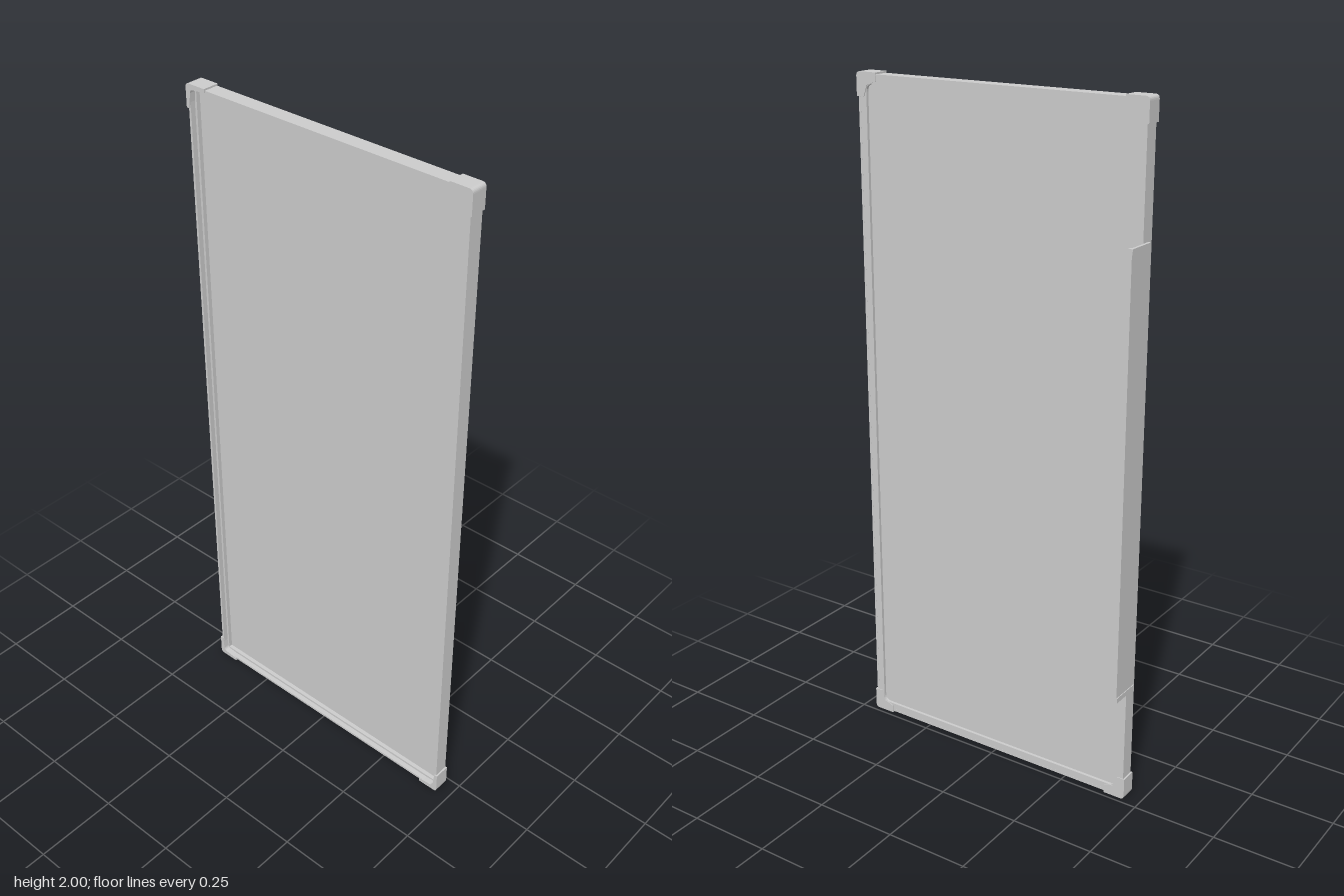
import * as THREE from 'three';

const material = new THREE.MeshStandardMaterial({ color: 0xcccccc });
const CZ = 0.003, CY = 1; // board centre
const HZ = 0.457, HY = 1; // board half sizes

// Rounded rectangle outline around the origin
function roundedRect(Type, w, h, r) {
  const s = new Type();
  s.moveTo(-w + r, -h);
  s.lineTo(w - r, -h);
  s.quadraticCurveTo(w, -h, w, -h + r);
  s.lineTo(w, h - r);
  s.quadraticCurveTo(w, h, w - r, h);
  s.lineTo(-w + r, h);
  s.quadraticCurveTo(-w, h, -w, h - r);
  s.lineTo(-w, -h + r);
  s.quadraticCurveTo(-w, -h, -w + r, -h);
  return s;
}

export function createModel() {
  const model = new THREE.Group();

  // Extrudes an outline of the z-y plane from x0 to x1
  function slab(name, shape, x0, x1) {
    const g = new THREE.ExtrudeGeometry(shape, { depth: x1 - x0, bevelEnabled: false, curveSegments: 6 });
    g.rotateY(Math.PI / 2);
    g.translate(x0, CY, CZ);
    const mesh = new THREE.Mesh(g, material);
    mesh.name = name;
    model.add(mesh);
  }

  function ring(name, outer, inner, r, x0, x1) {
    const s = roundedRect(THREE.Shape, HZ - outer, HY - outer, 0.004);
    s.holes.push(roundedRect(THREE.Path, HZ - inner, HY - inner, r));
    slab(name, s, x0, x1);
  }

  // Writing surface, recessed a little at the front and deeply at the back
  slab('panel', roundedRect(THREE.Shape, HZ - 0.008, HY - 0.008, 0.002), -0.034, -0.026);

  // Frame: thin outer wall, front flange and stepped rib behind
  ring('frameWall', 0.005, 0.012, 0.002, -0.061, -0.017);
  ring('frameFlange', 0.006, 0.032, 0.022, -0.027, -0.0172);
  ring('frameRib', 0.006, 0.019, 0.002, -0.046, -0.033);

  // Corner caps: L-shaped, with a wider plate at the front
  function corner(sz, sy, width, x0, x1) {
    const L = 0.067, r = 0.012, f = 0.015;
    const p = (a, b) => [sz * (HZ - a), sy * (HY - b)];
    const s = new THREE.Shape();
    s.moveTo(...p(0, L));
    s.lineTo(...p(0, r));
    s.quadraticCurveTo(...p(0, 0), ...p(r, 0));
    s.lineTo(...p(L, 0));
    s.lineTo(...p(L, width * 0.75));
    s.lineTo(...p(width + f, width));
    s.quadraticCurveTo(...p(width, width), ...p(width, width + f));
    s.lineTo(...p(width * 0.75, L));
    s.closePath();
    slab('cornerCap', s, x0, x1);
  }
  for (const sz of [-1, 1]) {
    for (const sy of [-1, 1]) {
      corner(sz, sy, 0.014, -0.064, -0.016);
      corner(sz, sy, 0.032, -0.027, -0.015);
    }
  }

  // Tray along one long edge, with a raised lip and end caps
  const trayShape = new THREE.Shape([
    [-0.032, -0.461], [0.061, -0.461], [0.061, -0.447], [0.056, -0.447],
    [0.046, -0.453], [-0.032, -0.453],
  ].map(([x, z]) => new THREE.Vector2(x, -z)));
  function tray(name, y0, y1, grow) {
    const g = new THREE.ExtrudeGeometry(trayShape, { depth: y1 - y0, bevelEnabled: false });
    g.rotateX(-Math.PI / 2);
    g.translate(0, y0, -grow);
    const mesh = new THREE.Mesh(g, material);
    mesh.name = name;
    model.add(mesh);
  }
  tray('tray', 0.37, 1.63, 0);
  tray('trayEndCap', 0.36, 0.375, 0.002);
  tray('trayEndCap', 1.625, 1.64, 0.002);

  return model;
}
